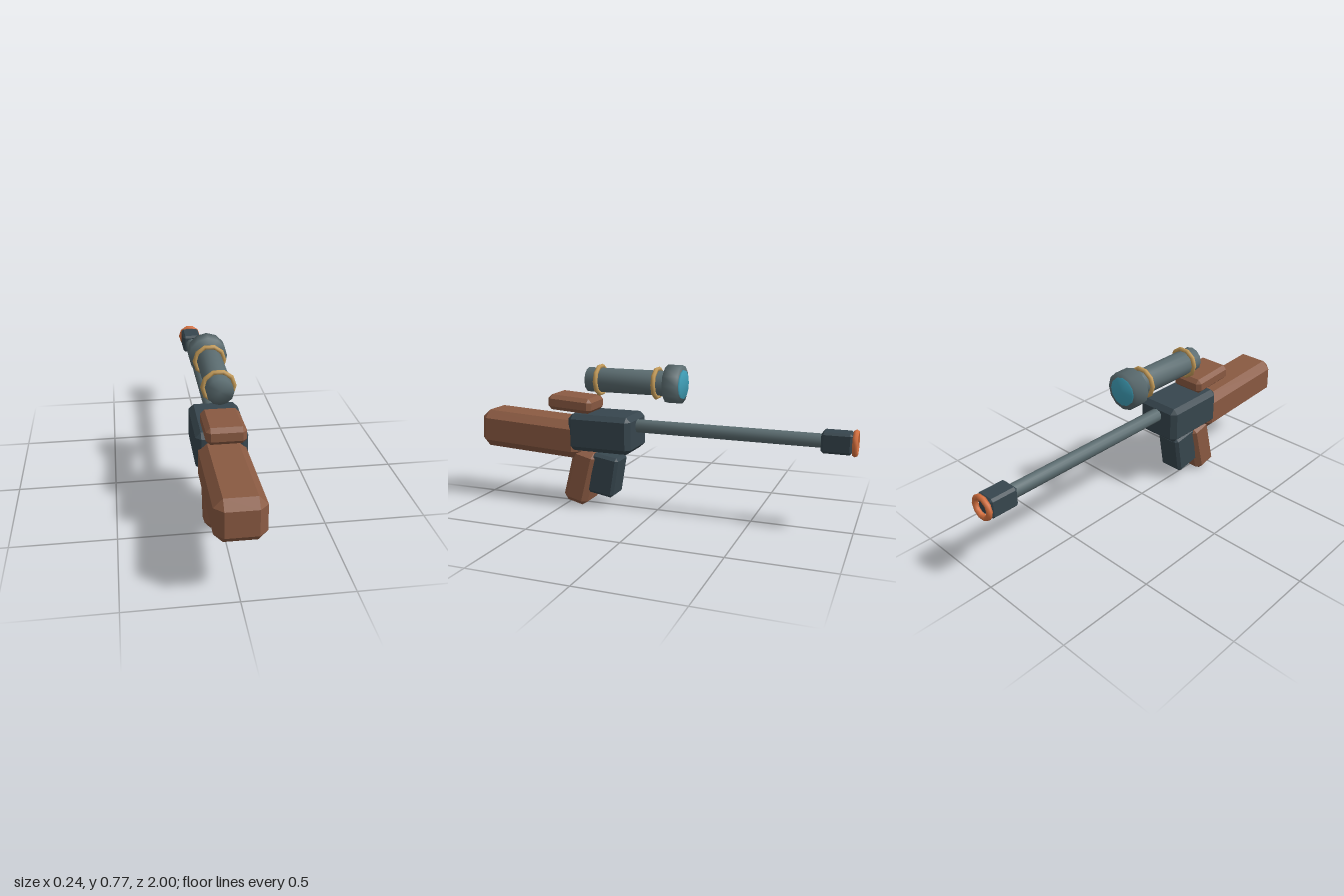
import * as THREE from 'three';
import { mergeVertices } from 'three/addons/utils/BufferGeometryUtils.js';
import { ConvexGeometry } from 'three/addons/geometries/ConvexGeometry.js';

const material = (name, color) => {
  const m = new THREE.MeshStandardMaterial({ color });
  m.name = name;
  return m;
};

// Box with flat chamfers on all edges and corners
function chamferBox(w, h, d, c) {
  const points = [];
  for (const sx of [-1, 1]) for (const sy of [-1, 1]) for (const sz of [-1, 1]) {
    const [x, y, z] = [w / 2, h / 2, d / 2];
    points.push(
      new THREE.Vector3(sx * x, sy * (y - c), sz * (z - c)),
      new THREE.Vector3(sx * (x - c), sy * y, sz * (z - c)),
      new THREE.Vector3(sx * (x - c), sy * (y - c), sz * z));
  }
  return new ConvexGeometry(points);
}

// Cylinder along z whose normals are shared over the rims
function softCylinder(radius, length, sides) {
  const g = new THREE.CylinderGeometry(radius, radius, length, sides).rotateX(Math.PI / 2);
  g.deleteAttribute('uv');
  g.deleteAttribute('normal');
  const merged = mergeVertices(g);
  merged.computeVertexNormals();
  return merged;
}

export function createModel() {
  const model = new THREE.Group();
  const wood = material('wood', 0x8a5a42);
  const darkMetal = material('dark metal', 0x37464e);
  const greyMetal = material('grey metal', 0x5b6c70);
  const brass = material('brass', 0xc49b58);
  const copper = material('copper', 0xd8713f);
  const glass = material('lens glass', 0x3f9fb8);

  const add = (name, geometry, mat, y, z, tilt = 0) => {
    const mesh = new THREE.Mesh(geometry, mat);
    mesh.name = name;
    mesh.position.set(0, y, z);
    mesh.rotation.x = tilt;
    model.add(mesh);
  };

  // Wooden furniture
  add('stock', chamferBox(0.224, 0.2, 0.6, 0.04), wood, 0.373, 0.7, -0.05);
  add('cheekRest', chamferBox(0.182, 0.08, 0.25, 0.02), wood, 0.548, 0.465, -0.06);
  add('grip', chamferBox(0.174, 0.3, 0.14, 0.027), wood, 0.157, 0.416, -0.25);

  // Body and magazine
  add('receiver', chamferBox(0.244, 0.194, 0.35, 0.025), darkMetal, 0.407, 0.285);
  add('magazine', chamferBox(0.14, 0.22, 0.15, 0.015), darkMetal, 0.175, 0.288, -0.165);

  // Barrel and muzzle
  add('barrel', softCylinder(0.035, 1.1, 10), greyMetal, 0.445, -0.36);
  add('muzzle', chamferBox(0.102, 0.102, 0.145, 0.012), darkMetal, 0.445, -0.903);
  add('muzzleRing', new THREE.TorusGeometry(0.052, 0.014, 6, 10), copper, 0.445, -0.986);

  // Scope
  const scopeY = 0.674;
  add('scopeTube', softCylinder(0.064, 0.44, 12), greyMetal, scopeY, 0.16);
  add('scopeHood', softCylinder(0.097, 0.077, 12), greyMetal, scopeY, -0.094);
  add('scopeLens', softCylinder(0.072, 0.02, 12), glass, scopeY, -0.132);
  for (const [name, z] of [['rearScopeRing', 0.315], ['frontScopeRing', 0]]) {
    add(name, new THREE.TorusGeometry(0.073, 0.012, 6, 10), brass, scopeY, z);
  }
  return model;
}
